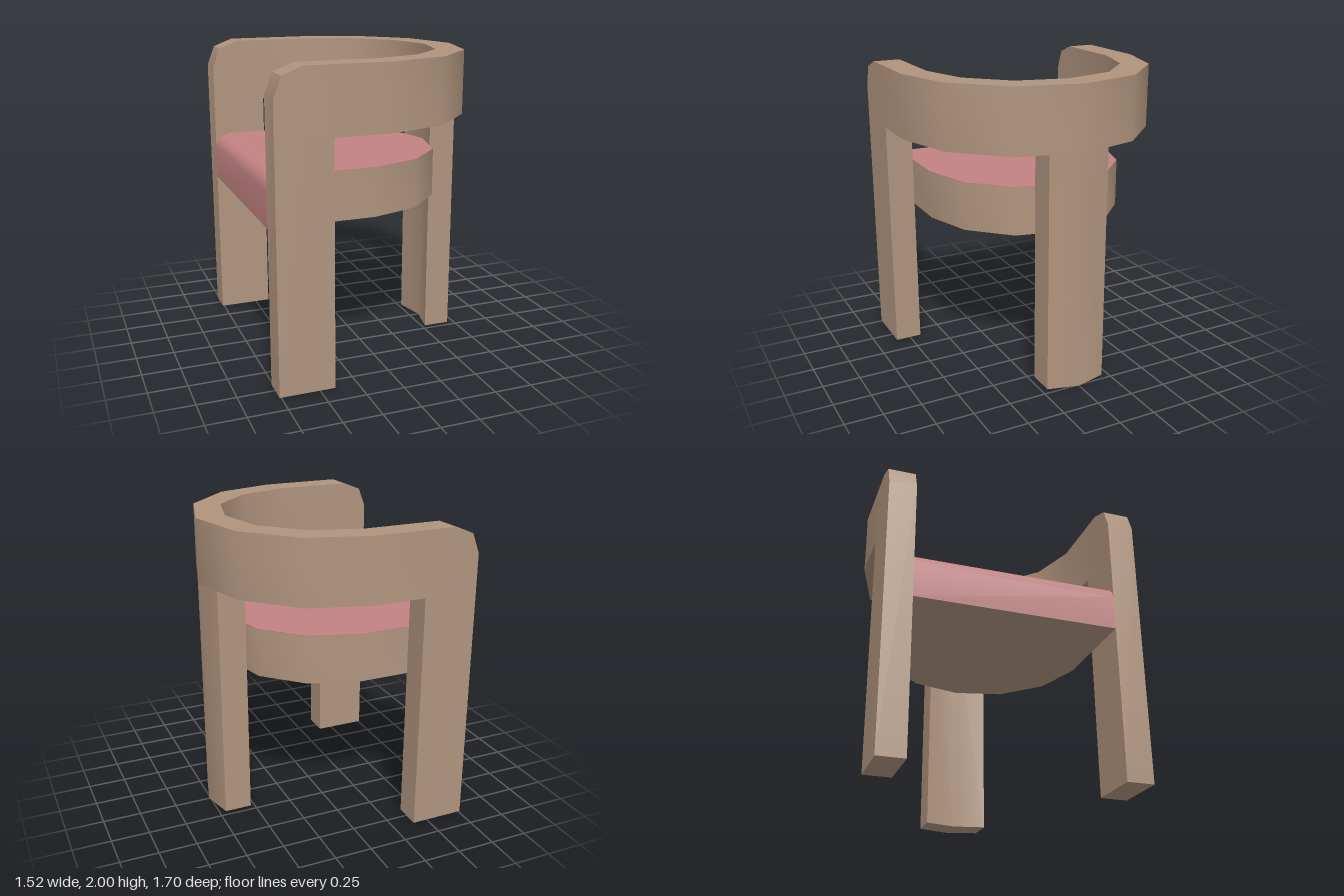
import * as THREE from 'three';
import { toCreasedNormals } from 'three/addons/utils/BufferGeometryUtils.js';

const wood = new THREE.MeshStandardMaterial({ color: 0xb0947e });
wood.name = 'wood';
const fabric = new THREE.MeshStandardMaterial({ color: 0xc38282 });
fabric.name = 'pink fabric';

// Half outlines of the horseshoe plan, from the straight arm to the middle of the back
const outer = [[-0.04, 0.85], [0.35, 0.73], [0.65, 0.42], [0.76, 0]];
const inner = [[-0.07, 0.67], [0.25, 0.57], [0.49, 0.33], [0.57, 0]];

// Complete a half outline by mirroring it across z = 0, starting both arms at x
function horseshoe(half, x) {
  const side = [[x, half[0][1]], ...half];
  const mirrored = side.slice(0, -1).reverse().map(([px, pz]) => [px, -pz]);
  return [...side, ...mirrored];
}

function extrude(points, depth) {
  const shape = new THREE.Shape(points.map(([x, y]) => new THREE.Vector2(x, y)));
  return new THREE.ExtrudeGeometry(shape, { depth, bevelEnabled: false });
}

function part(name, geometry, material) {
  const mesh = new THREE.Mesh(toCreasedNormals(geometry, 0.6), material);
  mesh.name = name;
  return mesh;
}

// Upright prism from a plan outline, between two heights
function slab(name, plan, y0, y1, material) {
  return part(name, extrude(plan, y1 - y0).rotateX(-Math.PI / 2).translate(0, y0, 0), material);
}

// Prism from a side profile, between two z positions
function panel(name, profile, z0, z1, material) {
  return part(name, extrude(profile, z1 - z0).translate(0, 0, z0), material);
}

export function createModel() {
  const chair = new THREE.Group();
  chair.name = 'chair';

  // Curved backrest and arms
  const band = [...horseshoe(outer, -0.58), ...horseshoe(inner, -0.58).reverse()];
  chair.add(slab('backrest', band, 1.58, 2, wood));

  // Front legs, rising into the chamfered arm ends
  const leg = [[-0.76, 0], [-0.4, 0], [-0.4, 1.58], [-0.58, 1.58], [-0.58, 2], [-0.71, 1.95], [-0.76, 1.82]];
  chair.add(panel('frontLegA', leg, 0.67, 0.85, wood));
  chair.add(panel('frontLegB', leg, -0.85, -0.67, wood));

  // Single back leg, following the bend of the backrest
  const backLeg = [[0.525, 0.207], [0.706, 0.207], [0.76, 0], [0.706, -0.207], [0.525, -0.207], [0.57, 0]];
  chair.add(slab('backLeg', backLeg, 0, 1.58, wood));

  // Seat: wooden base and rim, fabric top and rounded front edge
  chair.add(slab('seatBase', horseshoe(inner, -0.76), 1.02, 1.025, wood));
  chair.add(slab('seatRim', horseshoe(inner, -0.65), 1.025, 1.335, wood));
  chair.add(slab('seatTop', horseshoe(inner, -0.65), 1.335, 1.34, fabric));
  const nose = [[-0.76, 1.025], [-0.65, 1.025], [-0.65, 1.34], [-0.71, 1.325], [-0.745, 1.295], [-0.76, 1.25]];
  chair.add(panel('seatFront', nose, -0.67, 0.67, fabric));

  return chair;
}
